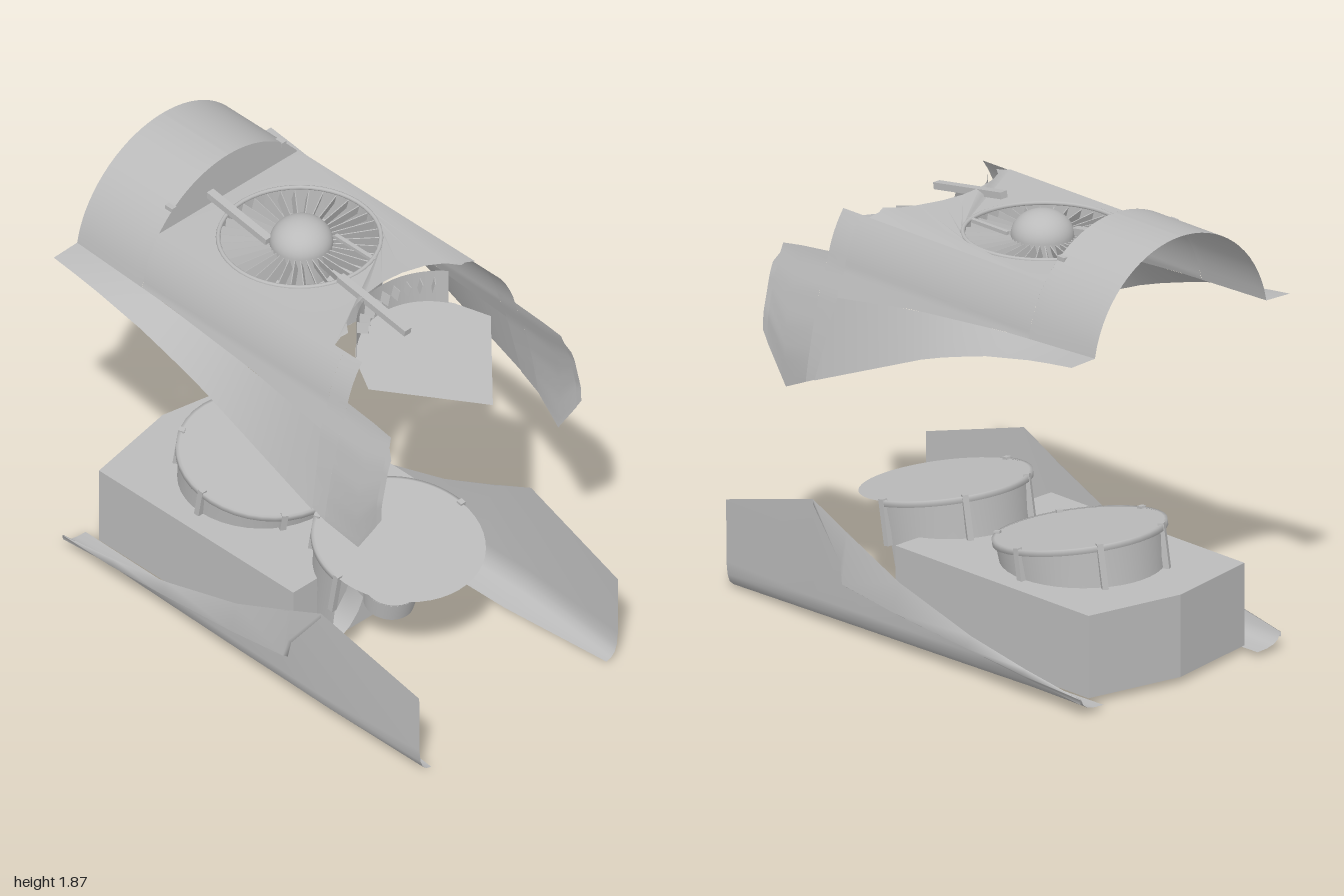
import * as THREE from 'three';

const grey = new THREE.MeshStandardMaterial({ color: 0xbbbbbb, side: THREE.DoubleSide });
grey.name = 'plain grey';

function add(parent, name, geo, x = 0, y = 0, z = 0) {
  const m = new THREE.Mesh(geo, grey);
  m.name = name;
  m.position.set(x, y, z);
  parent.add(m);
  return m;
}

// Smooth sheet through rows of points
function sheet(rows) {
  const n = rows[0].length, idx = [];
  for (let i = 0; i < rows.length - 1; i++)
    for (let j = 0; j < n - 1; j++) {
      const a = i * n + j, b = a + n;
      idx.push(a, b, a + 1, b, b + 1, a + 1);
    }
  const g = new THREE.BufferGeometry();
  g.setAttribute('position', new THREE.Float32BufferAttribute(rows.flat(2), 3));
  g.setIndex(idx);
  g.computeVertexNormals();
  return g;
}

// Piecewise linear lookup in [key, value] pairs with rising keys
function lerpIn(table, k) {
  if (k <= table[0][0]) return table[0][1];
  for (let i = 1; i < table.length; i++) {
    const [k0, v0] = table[i - 1], [k1, v1] = table[i];
    if (k <= k1) return v0 + (v1 - v0) * (k - k0) / (k1 - k0);
  }
  return table[table.length - 1][1];
}

// Half width of the upper shell at height y: round crown, flatter skirt
const skirt = [[0.95, 0.535], [1.1, 0.55], [1.22, 0.545], [1.375, 0.51], [1.49, 0.467]];
const shellX = y => y > 1.49 ? Math.sqrt(Math.max(0, 0.475 ** 2 - (y - 1.405) ** 2)) : lerpIn(skirt, y);
const crease = [[-1, 1.49], [-0.5, 1.47], [0, 1.43], [0.41, 1.375]];
const flapEdge = [[-1, 1.485], [-0.8, 1.46], [-0.5, 1.40], [-0.2, 1.31], [0.45, 1.04]];

// Cheeks start as wide as the flap and taper in towards the front
function cheekX(y, z) {
  const base = shellX(y);
  const taper = Math.min(1, Math.max(0, (0.7 - z) / 0.26));
  return z < 0.41 || y > 1.375 ? base : base + taper * Math.max(0, 0.51 + (1.375 - y) * 0.254 - base);
}

function shellSheet(stations, s) {
  return sheet(stations.map(([z, top, bottom]) => Array.from({ length: 17 }, (_, j) => {
    const u = j / 16, y = top - (top - bottom) * (top > 1.8 ? u * u : u);
    return [s * cheekX(y, z), y, z];
  })));
}

function upperShell() {
  const g = new THREE.Group();
  g.name = 'upperShell';
  const span = (z0, z1, top) => Array.from({ length: 9 }, (_, i) => {
    const z = z0 + (z1 - z0) * i / 8;
    return [z, top, lerpIn(crease, z)];
  });
  for (const s of [1, -1]) {
    add(g, 'rearArch', shellSheet(span(-1, -0.63, 1.88), s));
    add(g, 'sideWall', shellSheet(span(-0.63, 0.41, 1.69), s));
    add(g, 'sideWallFront', shellSheet([[0.41, 1.69, 1.06], [0.51, 1.69, 1.015]], s));
    add(g, 'frontCheek', shellSheet([[0.51, 1.53, 1.015], [0.66, 1.515, 0.945],
      [0.76, 1.5, 1.1], [0.765, 1.46, 1.11], [0.79, 1.42, 1.15]], s));
    // Flared lower flap
    add(g, 'sideFlap', sheet(Array.from({ length: 13 }, (_, i) => {
      const t = i / 12, za = -1 + 1.41 * t, zb = -1 + 1.45 * t, y = lerpIn(crease, za);
      return [[s * shellX(y), y, za], [s * 0.595, lerpIn(flapEdge, zb), zb]];
    })));
    add(g, 'stepTab', new THREE.BoxGeometry(0.025, 0.02, 0.04), s * 0.3, 1.77, -0.645);
  }

  // Bulkhead closing the step
  const half = Math.atan2(0.38, 0.285);
  const crescent = new THREE.Shape();
  crescent.absarc(0, 0, 0.475, Math.PI / 2 - half, Math.PI / 2 + half);
  add(g, 'stepBulkhead', new THREE.ShapeGeometry(crescent, 32), 0, 1.405, -0.63);

  // Deck with fan opening and scalloped, slightly raised front
  const deck = new THREE.Shape();
  [[-0.385, 0.63], [0.385, 0.63], [0.385, -0.36], [0.34, -0.35], [0.31, -0.36], [0.27, -0.31],
    [0.2, -0.27], [0.1, -0.24], [0, -0.23], [-0.1, -0.24], [-0.2, -0.27], [-0.27, -0.31],
    [-0.31, -0.36], [-0.34, -0.35], [-0.385, -0.36]].forEach(([x, y], i) => i ? deck.lineTo(x, y) : deck.moveTo(x, y));
  const hole = new THREE.Path();
  hole.absarc(0, 0.23, 0.325, 0, Math.PI * 2, true);
  deck.holes.push(hole);
  const deckGeo = new THREE.ShapeGeometry(deck, 48).rotateX(-Math.PI / 2);
  const p = deckGeo.attributes.position;
  for (let i = 0; i < p.count; i++)
    p.setY(i, Math.max(0, p.getZ(i) - 0.1) * 0.23 * (1 - (p.getX(i) / 0.385) ** 2));
  deckGeo.computeVertexNormals();
  add(g, 'fanDeck', deckGeo, 0, 1.692, 0);
  return g;
}

// Short duct from the deck down to a floor sloping 10 degrees
const floorY = (z, zc) => 1.515 - (z - zc) * Math.tan(Math.PI / 18);
function ductWall(zc, a0, a1, top) {
  return sheet(Array.from({ length: 41 }, (_, i) => {
    const a = a0 + (a1 - a0) * i / 40, x = Math.sin(a), z = zc + 0.325 * Math.cos(a);
    return [[0.325 * x, top, z], [0.325 * x, floorY(z, zc), z]];
  }));
}

function upperFans() {
  const g = new THREE.Group();
  g.name = 'upperFans';
  const zr = -0.23, zf = 0.555, tilt = Math.PI / 18;
  add(g, 'rearDuctWall', ductWall(zr, 0, Math.PI * 2, 1.692));
  const floor = add(g, 'rearDuctFloor', new THREE.CircleGeometry(0.33, 48).rotateX(Math.PI / 2), 0, 1.515, zr);
  floor.rotation.x = tilt;
  add(g, 'rearFanRim', new THREE.TorusGeometry(0.32, 0.009, 8, 48).rotateX(Math.PI / 2), 0, 1.692, zr);
  add(g, 'rearFanHub', new THREE.SphereGeometry(0.125, 32, 12, 0, Math.PI * 2, 0, Math.PI / 2).scale(1, 0.8, 1), 0, 1.68, zr + 0.01);
  add(g, 'hubBarrel', new THREE.CylinderGeometry(0.125, 0.125, 0.13, 32, 1, true), 0, 1.615, zr + 0.01);

  // Radial blades: full circle at the rear, rear arc only at the front
  const blade = (name, angle, z, r0, r1) => {
    const b = add(g, name, new THREE.BoxGeometry(0.004, 0.045, r1 - r0).rotateZ(0.25).translate(0, 0, (r0 + r1) / 2), 0, 1.655, z);
    b.rotation.y = angle;
  };
  for (let i = 0; i < 36; i++) blade('rearFanBlade', i * Math.PI / 18, zr, 0.12, 0.32);
  for (let i = -4; i <= 4; i++) blade('frontFanBlade', Math.PI + i * Math.PI / 18, zf, 0.28, 0.325);

  // Open front duct with pointed floor
  add(g, 'frontDuctWall', ductWall(zf, Math.PI * 0.72, Math.PI * 1.28, 1.71));
  const pts = [[0.335, 0.5], [0, 0.855], [-0.335, 0.5]];
  for (let i = 0; i <= 14; i++) {
    const a = Math.PI * (1.3 - 0.6 * i / 14);
    pts.push([0.33 * Math.sin(a), zf + 0.33 * Math.cos(a)]);
  }
  const plate = new THREE.ShapeGeometry(new THREE.Shape(pts.map(([x, z]) => new THREE.Vector2(x, -z))));
  plate.rotateX(-Math.PI / 2);
  const p = plate.attributes.position;
  for (let i = 0; i < p.count; i++) p.setY(i, floorY(p.getZ(i), zf));
  plate.computeVertexNormals();
  add(g, 'frontDuctFloor', plate);

  // Actuator rods
  const rod = (name, x, z0, y0, z1, y1, w) => {
    const m = add(g, name, new THREE.BoxGeometry(w, w * 0.8, Math.hypot(z1 - z0, y1 - y0)), x, (y0 + y1) / 2, (z0 + z1) / 2);
    m.rotation.x = -Math.atan2(y1 - y0, z1 - z0);
  };
  rod('rearRod', -0.1, -0.65, 1.745, -0.3, 1.69, 0.035);
  rod('hubRod', 0.11, -0.14, 1.69, 0.08, 1.69, 0.018);
  rod('frontRod', -0.1, 0.1, 1.73, 0.48, 1.67, 0.035);
  return g;
}

// Lower duct, built upright then tilted forward
function lowerDuct(name, z, start, sweep, clips) {
  const g = new THREE.Group();
  g.name = name;
  const lathe = pts => new THREE.LatheGeometry(pts.map(q => new THREE.Vector2(...q)), 40, start, sweep);
  add(g, 'ductLid', new THREE.CircleGeometry(0.342, 48).rotateX(-Math.PI / 2));
  add(g, 'ductWall', lathe([[0.31, -0.38], [0.32, -0.2], [0.335, -0.02]]));
  add(g, 'ductRim', lathe([[0.335, -0.02], [0.348, -0.02], [0.348, 0.004], [0.335, 0.004]]));
  add(g, 'ductBell', lathe([[0.31, -0.38], [0.29, -0.395], [0.25, -0.385], [0.21, -0.35], [0.175, -0.29], [0.16, -0.22]]));
  add(g, 'ductHub', new THREE.CylinderGeometry(0.11, 0.1, 0.09, 32, 1, true), 0, -0.3, 0);
  add(g, 'hubFace', new THREE.RingGeometry(0.04, 0.11, 32).rotateX(Math.PI / 2), 0, -0.26, 0);
  for (const deg of clips) {
    const a = deg * Math.PI / 180;
    const c = add(g, 'ductClip', new THREE.BoxGeometry(0.025, 0.19, 0.025), 0.338 * Math.sin(a), -0.085, 0.338 * Math.cos(a));
    c.rotation.y = a;
  }
  g.position.set(0, 0.5, z);
  g.rotation.x = Math.PI / 18;
  return g;
}

function lowerBay() {
  const g = new THREE.Group();
  g.name = 'lowerBay';
  // Open-bottomed box with a shallow V back
  const plan = [[-0.425, 0.17], [0.425, 0.17], [0.425, -0.92], [0, -1], [-0.425, -0.92]];
  add(g, 'bayTop', new THREE.ShapeGeometry(new THREE.Shape(plan.map(([x, z]) => new THREE.Vector2(x, -z)))).rotateX(-Math.PI / 2), 0, 0.38, 0);
  plan.forEach(([x, z], i) => {
    const [x1, z1] = plan[(i + 1) % 5];
    add(g, 'bayWall', sheet([[[x, 0.38, z], [x, 0.035, z]], [[x1, 0.38, z1], [x1, 0.035, z1]]]));
  });

  // Side panels: z, top height, wall x, inner edge x
  const stations = [[1, 0.38, 0.545, 0.48], [0.48, 0.53, 0.575, 0.43], [0.25, 0.42, 0.572, 0.425], [0, 0.31, 0.57, 0.42],
    [-0.4, 0.19, 0.562, 0.42], [-0.7, 0.13, 0.555, 0.42], [-1, 0.08, 0.545, 0.42]];
  // Flare: z, top height, low height, low x, root x
  const flare = [[0.48, 0.53, 0.53, 0.575, 0.575], [0.31, 0.45, 0.31, 0.59, 0.573], [0.29, 0.44, 0.23, 0.6, 0.572],
    [0, 0.31, 0.19, 0.6, 0.57], [-0.4, 0.19, 0.15, 0.595, 0.562], [-0.7, 0.13, 0.115, 0.58, 0.555], [-1, 0.08, 0.08, 0.548, 0.545]];
  for (const s of [1, -1]) {
    add(g, 'sidePanel', sheet(stations.map(([z, top, xw, xi]) => {
      const yb = 0.018 - z * 0.01, k = Math.min(top, 0.12) - yb, w = xw - xi;
      return [[1, top], [0.98, yb + k], [0.88, yb + 0.5 * k], [0.7, yb + 0.22 * k], [0.4, yb + 0.06 * k], [0, yb]]
        .map(([f, y]) => [s * (xi + w * f), y, z]);
    })));
    add(g, 'panelFlare', sheet(flare.map(([z, top, low, x, root]) => [[s * root, top, z], [s * x, low, z], [s * root, low - 0.02, z]])));
  }
  g.add(lowerDuct('rearLowerDuct', -0.43, 0, Math.PI * 2, [30, 90, 150, 210, 270, 330]));
  g.add(lowerDuct('frontLowerDuct', 0.33, Math.PI / 2, Math.PI, [90, 150, 210, 270]));
  return g;
}

export function createModel() {
  const model = new THREE.Group();
  model.name = 'explodedFanBay';
  model.add(upperShell(), upperFans(), lowerBay());
  return model;
}
